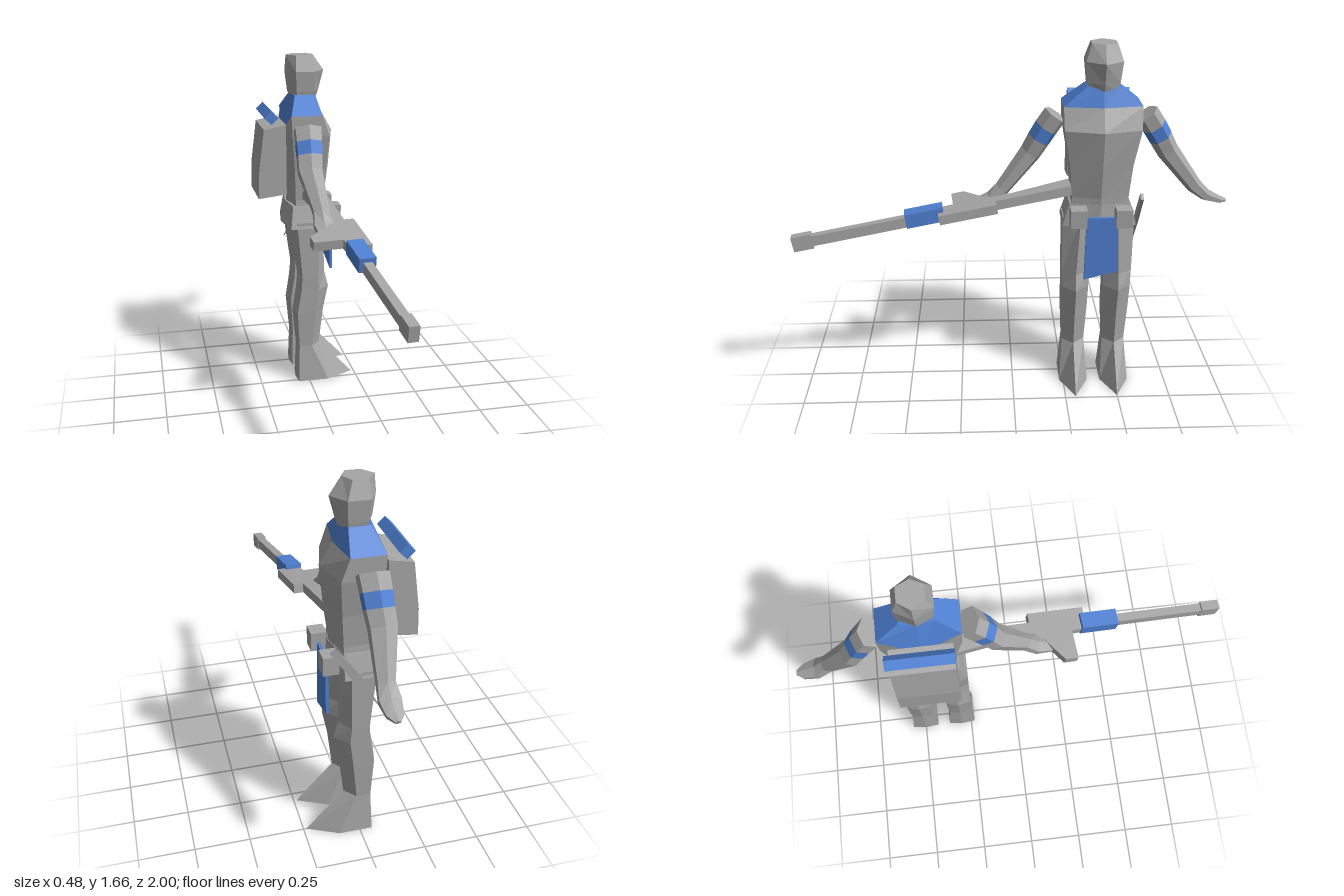
import * as THREE from 'three';

const grey = new THREE.MeshStandardMaterial({ color: 0xa6a6a6, flatShading: true });
grey.name = 'plain grey';
const blue = new THREE.MeshStandardMaterial({ color: 0x4f81d3, flatShading: true });
blue.name = 'team blue';

const MID = -0.4; // the figure's plane of symmetry, it faces +x

function add(parent, name, geometry, material, x = 0, y = 0, z = 0) {
  const mesh = new THREE.Mesh(geometry, material);
  mesh.name = name;
  mesh.position.set(x, y, z);
  parent.add(mesh);
  return mesh;
}

// Closed solid through a list of rings, turned outward by its signed volume
function loft(rings) {
  const tris = [];
  const n = rings[0].length;
  for (let r = 0; r + 1 < rings.length; r++) {
    for (let i = 0; i < n; i++) {
      const j = (i + 1) % n, a = rings[r], b = rings[r + 1];
      tris.push([a[i], a[j], b[j]], [a[i], b[j], b[i]]);
    }
  }
  const first = rings[0], last = rings[rings.length - 1];
  for (let i = 1; i + 1 < n; i++) {
    tris.push([first[0], first[i + 1], first[i]], [last[0], last[i], last[i + 1]]);
  }
  let volume = 0;
  for (const [a, b, c] of tris) volume += a.dot(b.clone().cross(c));
  const points = tris.flatMap(([a, b, c]) => (volume < 0 ? [a, c, b] : [a, b, c]));
  const geometry = new THREE.BufferGeometry().setFromPoints(points);
  geometry.computeVertexNormals();
  return geometry;
}

// Level six-sided ring with ridges at front and back
function ring(y, back, sideBack, sideFront, front, half, z = MID, yBack = y) {
  return [
    [front, y, 0], [sideFront, y, half], [sideBack, y, half],
    [back, yBack, 0], [sideBack, y, -half], [sideFront, y, -half],
  ].map(([px, py, pz]) => new THREE.Vector3(px, py, z + pz));
}

function extrude(points, depth) {
  const shape = new THREE.Shape(points.map(([x, y]) => new THREE.Vector2(x, y)));
  return new THREE.ExtrudeGeometry(shape, { depth, bevelEnabled: false });
}

function buildArm(parent, side) {
  // distance from the midline, height, x centre, half width, half depth
  const path = [
    [0.205, 1.335, -0.015, 0.056, 0.062],
    [0.245, 1.275, -0.018, 0.056, 0.06],
    [0.278, 1.22, -0.02, 0.054, 0.058],
    [0.315, 1.155, -0.025, 0.05, 0.055],
    [0.445, 0.99, 0, 0.036, 0.036],
    [0.5, 0.945, 0, 0.028, 0.045],
    [0.565, 0.922, 0, 0.016, 0.035],
    [0.598, 0.915, 0, 0.008, 0.012],
  ];
  const rings = path.map(([d, y, x, w, h], k) => {
    const p = path[Math.max(k - 1, 0)], q = path[Math.min(k + 1, path.length - 1)];
    const len = Math.hypot(q[0] - p[0], q[1] - p[1]);
    const nd = (p[1] - q[1]) / len, ny = (q[0] - p[0]) / len;
    return [0, 1, 2, 3, 4, 5].map((i) => {
      const a = (i * Math.PI) / 3, u = Math.cos(a) * w, v = Math.sin(a) * h * 1.15;
      return new THREE.Vector3(x + v, y + ny * u, MID + side * (d + nd * u));
    });
  });
  add(parent, 'upperArm', loft(rings.slice(0, 2)), grey);
  add(parent, 'armBand', loft(rings.slice(1, 3)), blue);
  add(parent, 'forearmAndHand', loft(rings.slice(2)), grey);
}

function buildLeg(parent, side) {
  const z = MID + side * 0.1;
  add(parent, 'leg', loft([
    ring(0.86, -0.09, -0.06, 0.05, 0.085, 0.08, MID + side * 0.086),
    ring(0.58, -0.05, -0.035, 0.045, 0.09, 0.066, z),
    ring(0.5, -0.058, -0.04, 0.05, 0.11, 0.064, z),
    ring(0.38, -0.077, -0.06, 0.035, 0.085, 0.062, z),
    ring(0.19, -0.06, -0.05, 0.015, 0.062, 0.054, z),
  ]), grey);
  add(parent, 'foot', loft([
    ring(0.19, -0.06, -0.05, 0.015, 0.062, 0.054, z),
    ring(0, -0.064, -0.056, 0.097, 0.237, 0.069, z),
  ]), grey);
}

function buildRifle(parent) {
  const rifle = new THREE.Group();
  rifle.name = 'rifle';
  rifle.position.set(0.042, 1.0, -0.27);
  rifle.rotation.set(0.164, 0.08, 0);
  parent.add(rifle);
  // flat body lying on its side, with stock and magazine in its outline
  const body = extrude([
    [-0.07, 0], [0.03, 0], [0.03, 0.62], [-0.03, 0.62], [-0.035, 0.545],
    [-0.17, 0.545], [-0.17, 0.485], [-0.06, 0.405], [-0.03, 0.28],
  ], 0.044);
  body.rotateX(Math.PI / 2).translate(0, 0.022, 0);
  add(rifle, 'rifleBody', body, grey);
  add(rifle, 'sight', new THREE.BoxGeometry(0.05, 0.044, 0.265), grey, 0.05, 0, 0.485);
  add(rifle, 'handguard', new THREE.BoxGeometry(0.076, 0.066, 0.175), blue, 0, 0.01, 0.68);
  add(rifle, 'barrel', new THREE.BoxGeometry(0.04, 0.048, 0.5), grey, 0, 0, 0.98);
  add(rifle, 'muzzle', new THREE.BoxGeometry(0.045, 0.07, 0.09), grey, 0, 0, 1.241);
}

export function createModel() {
  const model = new THREE.Group();
  model.name = 'soldier';

  add(model, 'head', loft([
    ring(1.45, -0.06, -0.035, 0.04, 0.065, 0.065),
    ring(1.49, -0.075, -0.04, 0.045, 0.08, 0.072),
    ring(1.585, -0.087, -0.045, 0.05, 0.105, 0.082),
    ring(1.66, -0.08, -0.04, 0.025, 0.052, 0.056),
  ]), grey);

  // Shoulder mantle hangs lower at the back
  const hem = ring(1.39, -0.112, -0.085, 0.065, 0.09, 0.175, MID, 1.29);
  add(model, 'mantle', loft([ring(1.475, -0.065, -0.05, 0.045, 0.06, 0.072), hem]), blue);
  add(model, 'torso', loft([
    hem,
    ring(1.29, -0.108, -0.08, 0.1, 0.145, 0.172),
    ring(1.12, -0.095, -0.065, 0.085, 0.13, 0.142),
    ring(0.97, -0.085, -0.06, 0.075, 0.11, 0.13),
    ring(0.9, -0.085, -0.06, 0.075, 0.105, 0.135),
  ]), grey);
  add(model, 'belt', loft([
    ring(0.94, -0.092, -0.075, 0.075, 0.11, 0.14),
    ring(0.83, -0.115, -0.09, 0.08, 0.115, 0.17),
  ]), grey);

  for (const side of [1, -1]) {
    buildArm(model, side);
    buildLeg(model, side);
    add(model, 'pouch', new THREE.BoxGeometry(0.07, 0.085, 0.075), grey, 0.13, 0.893, MID + side * 0.103);
  }

  // Front cloth with a slanted hem
  const cloth = extrude([[0.33, 0.58], [0.485, 0.62], [0.477, 0.89], [0.335, 0.89]], 0.014);
  cloth.rotateY(Math.PI / 2);
  add(model, 'frontCloth', cloth, blue, 0.125);

  // Knife slung at the right hip
  const knife = extrude([[0.12, 1.0], [0.145, 0.98], [0.05, 0.84], [-0.07, 0.69], [0.015, 0.86]], 0.014);
  add(model, 'knife', knife, grey, 0, 0, -0.587);

  // Backpack with a rolled blanket above it
  const pack = extrude([
    [-0.105, 1.345], [-0.212, 1.325], [-0.24, 1.11], [-0.243, 0.987], [-0.105, 1.003],
  ], 0.27);
  add(model, 'backpack', pack, grey, 0, 0, MID - 0.135);
  const roll = add(model, 'blanketRoll', new THREE.BoxGeometry(0.047, 0.047, 0.288), blue, -0.175, 1.38, MID - 0.005);
  roll.rotation.z = Math.PI / 4;

  buildRifle(model);
  return model;
}
